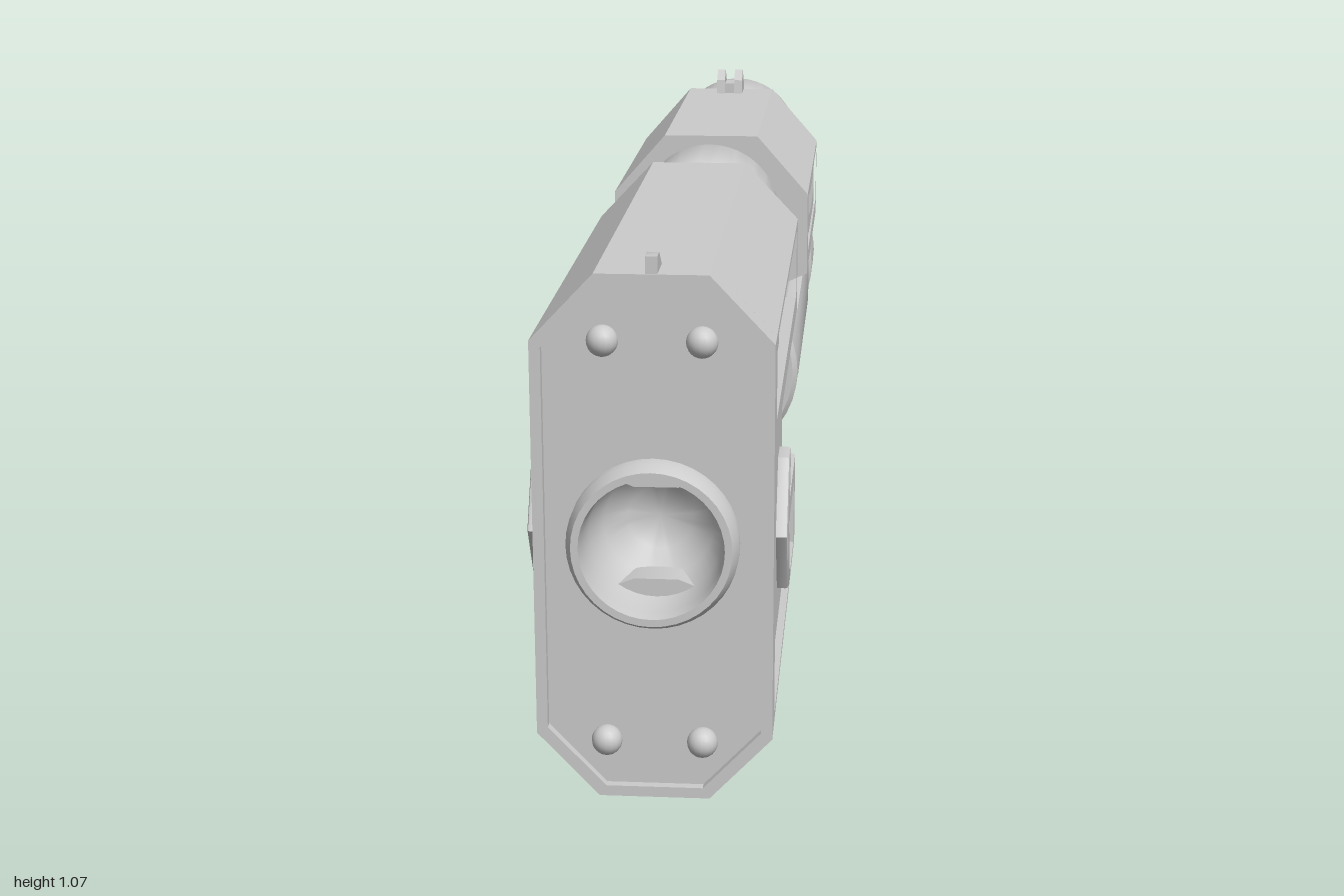
import * as THREE from 'three';
import { toCreasedNormals } from 'three/addons/utils/BufferGeometryUtils.js';
import { RoundedBoxGeometry } from 'three/addons/geometries/RoundedBoxGeometry.js';

const material = new THREE.MeshStandardMaterial({ color: 0xcccccc });
const AXIS = 0.665; // height of the barrel axis
const flip = (y) => 2 * AXIS - y;

export function createModel() {
  const root = new THREE.Group();

  const add = (name, geometry, x = 0, y = 0, z = 0) => {
    const mesh = new THREE.Mesh(geometry, material);
    mesh.name = name;
    mesh.position.set(x, y, z);
    root.add(mesh);
    return mesh;
  };

  const toShape = (pts) => new THREE.Shape(pts.map(([x, y]) => new THREE.Vector2(x, y)));
  const mirrored = (half) => [...half, ...half.map(([x, y]) => [-x, y]).reverse()];

  // Extrudes a shape by depth, with the bevel kept inside that depth and outline
  const extrude = (shape, depth, bevel = 0, bevelSegments = 2) => new THREE.ExtrudeGeometry(shape, {
    depth: depth - 2 * bevel, bevelEnabled: bevel > 0, bevelSize: bevel, bevelThickness: bevel,
    bevelOffset: -bevel, bevelSegments, curveSegments: 20,
  }).translate(0, 0, bevel);

  // Outline in (x, y), running from z0 to z1
  const alongZ = (name, shape, z0, z1, bevel = 0) =>
    add(name, toCreasedNormals(extrude(shape, z1 - z0, bevel), 0.6), 0, 0, z0);

  // Outline in (z, y), running from x0 to x1
  const sideShape = (pts) => toShape(pts.map(([z, y]) => [-z, y]));
  const alongX = (name, shape, x0, x1, bevel = 0, segments = 2) =>
    add(name, toCreasedNormals(extrude(shape, x1 - x0, bevel, segments).rotateY(Math.PI / 2), 0.6), x0);

  // Turned part around the z axis; profile is [radius, z] with z rising on the outside
  const turned = (name, profile, y) => add(name, toCreasedNormals(
    new THREE.LatheGeometry(profile.map(([r, z]) => new THREE.Vector2(r, z)), 40).rotateX(Math.PI / 2), 0.6), 0, y);
  const rod = (name, r, z0, z1, y) => turned(name, [[0, z0], [r, z0], [r, z1], [0, z1]], y);

  // Side plate with a window, mirrored to both sides
  const sidePlate = (name, outline, window, x0, x1) => {
    const shape = sideShape(outline);
    shape.holes.push(sideShape(window));
    alongX(name, shape, x0, x1);
    alongX(name, shape, -x1, -x0);
  };
  const bothSides = (name, pts, x0, x1, bevel = 0) => {
    alongX(name, sideShape(pts), x0, x1, bevel);
    alongX(name, sideShape(pts), -x1, -x0, bevel);
  };
  const rect = (z0, z1, y0, y1) => [[z0, y0], [z1, y0], [z1, y1], [z0, y1]];

  // Front shroud: octagonal nose block, with the bore cut through it
  const octagon = (w, cut, y0, y1) => mirrored([
    [w - cut, y0], [w, y0 + cut * 1.06], [w, y1 - cut * 1.06], [w - cut, y1]]);
  const nose = toShape(octagon(0.16, 0.085, 0.3, 1.03));
  nose.holes.push(new THREE.Path().absarc(0, AXIS, 0.1, 0, Math.PI * 2, true));
  alongZ('noseBlock', nose, 0.93, 0.962);
  const rim = toShape(octagon(0.16, 0.085, 0.3, 1.03));
  rim.holes.push(toShape(octagon(0.145, 0.079, 0.315, 1.015)));
  alongZ('noseRim', rim, 0.962, 0.975);

  // Shroud beams above and below the barrel, with grooves for the side plates
  const upperBeam = [[0.03, 0.73], [0.08, 0.75], [0.16, 0.79], [0.16, 0.81], [0.125, 0.81],
    [0.125, 0.94], [0.16, 0.94], [0.075, 1.03]];
  const lowerBeam = upperBeam.map(([x, y]) => [x, flip(y)]);
  alongZ('upperBeam', toShape(mirrored(upperBeam)), 0.16, 0.93);
  alongZ('lowerBeam', toShape(mirrored(lowerBeam)), 0.16, 0.93);
  alongZ('shroudWeb', toShape(mirrored([[0.03, 0.58], [0.03, 0.75]])), 0.16, 0.8);

  for (const map of [(y) => y, flip]) {
    const m = (pts) => pts.map(([z, y]) => [z, map(y)]);
    sidePlate('beamPlate', m(rect(0.16, 0.93, 0.81, 0.94)),
      m([[0.2, 0.822], [0.915, 0.822], [0.915, 0.93], [0.2, 0.93]]), 0.12, 0.16);
    // Slanted raised panel in each window
    bothSides('slantPanel', m([[0.71, 0.82], [0.61, 0.932], [0.41, 0.932], [0.51, 0.82]]), 0.12, 0.145);
  }

  // Cheeks that join the beams behind the nose, with raised chevrons
  bothSides('noseCheek', [[0.74, 0.53], [0.93, 0.53], [0.93, 0.8], [0.74, 0.8]], 0.09, 0.16);
  bothSides('cheekBevel', [[0.715, 0.56], [0.76, 0.54], [0.76, 0.79], [0.715, 0.77]], 0.02, 0.12);
  bothSides('chevron', [[0.92, 0.66], [0.865, 0.755], [0.815, 0.755], [0.865, 0.66],
    [0.815, 0.567], [0.865, 0.567]], 0.15, 0.176, 0.004);

  // Muzzle ring and dished bore
  turned('muzzle', [[0.115, 0.95], [0.115, 0.985], [0.107, 1], [0.097, 1], [0.094, 0.98],
    [0.09, 0.93], [0.075, 0.89], [0.045, 0.862], [0, 0.85]], AXIS);
  for (const x of [-0.065, 0.065]) for (const y of [0.38, 0.94]) {
    add('noseRivet', new THREE.SphereGeometry(0.021, 16, 12), x, y, 0.968);
  }

  // Barrel with stepped collar
  turned('barrel', [[0, 0.09], [0.14, 0.09], [0.14, 0.15], [0.118, 0.155], [0.118, 0.24], [0.105, 0.26],
    [0.105, 0.28], [0.088, 0.31], [0.07, 0.39], [0.08, 0.4], [0.08, 0.76], [0, 0.76]], AXIS);

  // Receiver tubes
  rod('receiverTube', 0.145, -0.73, 0.1, AXIS);
  rod('upperTube', 0.105, -0.8, 0.17, 0.905);
  rod('lowerTube', 0.1, -0.02, 0.17, 0.415);
  bothSides('sideRail', rect(-0.69, -0.1, 0.6, 0.728), 0.1, 0.155, 0.008);

  // Clamps: a round collar crossed by a narrow round-ended strap
  const strap = (y0, y1, r) => {
    const s = new THREE.Shape();
    s.absarc(0, y1, r, 0, Math.PI, false);
    s.absarc(0, y0, r, Math.PI, Math.PI * 2, false);
    return s;
  };
  const clamp = (z0, z1, yLow) => {
    turned('clampCollar', [[0, z0], [0.152, z0], [0.16, z0 + 0.01], [0.16, z1 - 0.01],
      [0.152, z1], [0, z1]], AXIS);
    alongZ('clampStrap', strap(yLow, 0.9, 0.12), z0 + 0.002, z1 - 0.002, 0.008);
  };
  clamp(-0.085, 0.1, 0.425);
  clamp(-0.895, -0.72, 0.63);
  for (const [y, z] of [[0.85, 0.01], [0.455, 0.01], [0.85, -0.81]]) for (const x of [-0.115, 0.115]) {
    add('clampScrew', new THREE.SphereGeometry(0.027, 16, 12), x, y, z);
  }

  // Rear caps
  turned('upperRearCap', [[0, -0.95], [0.07, -0.948], [0.09, -0.938], [0.1, -0.915], [0.102, -0.88]], 0.912);
  turned('lowerRearCap', [[0, -0.985], [0.06, -0.985], [0.075, -1], [0.098, -1], [0.112, -0.985],
    [0.122, -0.945], [0.137, -0.935], [0.142, -0.92], [0.142, -0.88]], AXIS);

  // Receiver cover with vents on both sides
  alongZ('receiverCover', toShape(mirrored([[0.125, 0.77], [0.168, 0.79], [0.168, 0.805], [0.14, 0.805],
    [0.14, 0.93], [0.168, 0.93], [0.08, 1.03]])), -0.67, -0.105);
  sidePlate('ventPlate', rect(-0.67, -0.105, 0.805, 0.93),
    [[-0.64, 0.818], [-0.165, 0.818], [-0.15, 0.918], [-0.655, 0.918]], 0.135, 0.168);
  for (let i = 0; i < 15; i++) for (const x of [-0.15, 0.15]) {
    add('ventFin', new THREE.BoxGeometry(0.028, 0.106, 0.015), x, 0.867, -0.17 - i * 0.0325);
  }

  // Sights
  alongX('frontSight', sideShape([[0.972, 1.02], [0.972, 1.053], [0.945, 1.053], [0.91, 1.03], [0.91, 1.02]]), -0.008, 0.008);
  const prong = [[-0.605, 1.02], [-0.61, 1.055], [-0.635, 1.072], [-0.67, 1.045], [-0.67, 1.02]];
  bothSides('rearSight', prong, 0.009, 0.024);
  add('rearSightBase', new THREE.BoxGeometry(0.03, 0.03, 0.05), 0, 1.033, -0.638);

  // Grip: curved side outline with softened edges
  const grip = new THREE.Shape();
  grip.moveTo(0.46, 0.53);
  grip.quadraticCurveTo(0.51, 0.3, 0.45, 0.115);
  grip.lineTo(0.4, 0.05);
  grip.lineTo(0.435, 0);
  grip.lineTo(0.61, 0);
  grip.quadraticCurveTo(0.69, 0.01, 0.722, 0.06);
  grip.quadraticCurveTo(0.76, 0.25, 0.65, 0.46);
  grip.lineTo(0.65, 0.53);
  alongX('grip', grip, -0.072, 0.072, 0.02, 3);
  alongX('gripCollar', sideShape([[-0.395, 0.475], [-0.64, 0.465], [-0.69, 0.485], [-0.69, 0.56],
    [-0.42, 0.56]]), -0.078, 0.078, 0.012);

  // Guard loop in front of the grip
  const guard = new THREE.Shape();
  guard.moveTo(0.1, 0.56);
  guard.lineTo(0.1, 0.47);
  guard.lineTo(0.125, 0.42);
  guard.lineTo(0.26, 0.18);
  guard.quadraticCurveTo(0.3, 0.105, 0.37, 0.105);
  guard.lineTo(0.5, 0.105);
  guard.lineTo(0.5, 0.195);
  guard.lineTo(0.385, 0.195);
  guard.quadraticCurveTo(0.345, 0.2, 0.33, 0.23);
  guard.lineTo(0.22, 0.43);
  guard.lineTo(0.22, 0.56);
  alongX('triggerGuard', guard, -0.05, 0.05, 0.014, 3);
  add('guardMount', new RoundedBoxGeometry(0.12, 0.05, 0.15, 2, 0.012), 0, 0.535, -0.165);

  return root;
}
